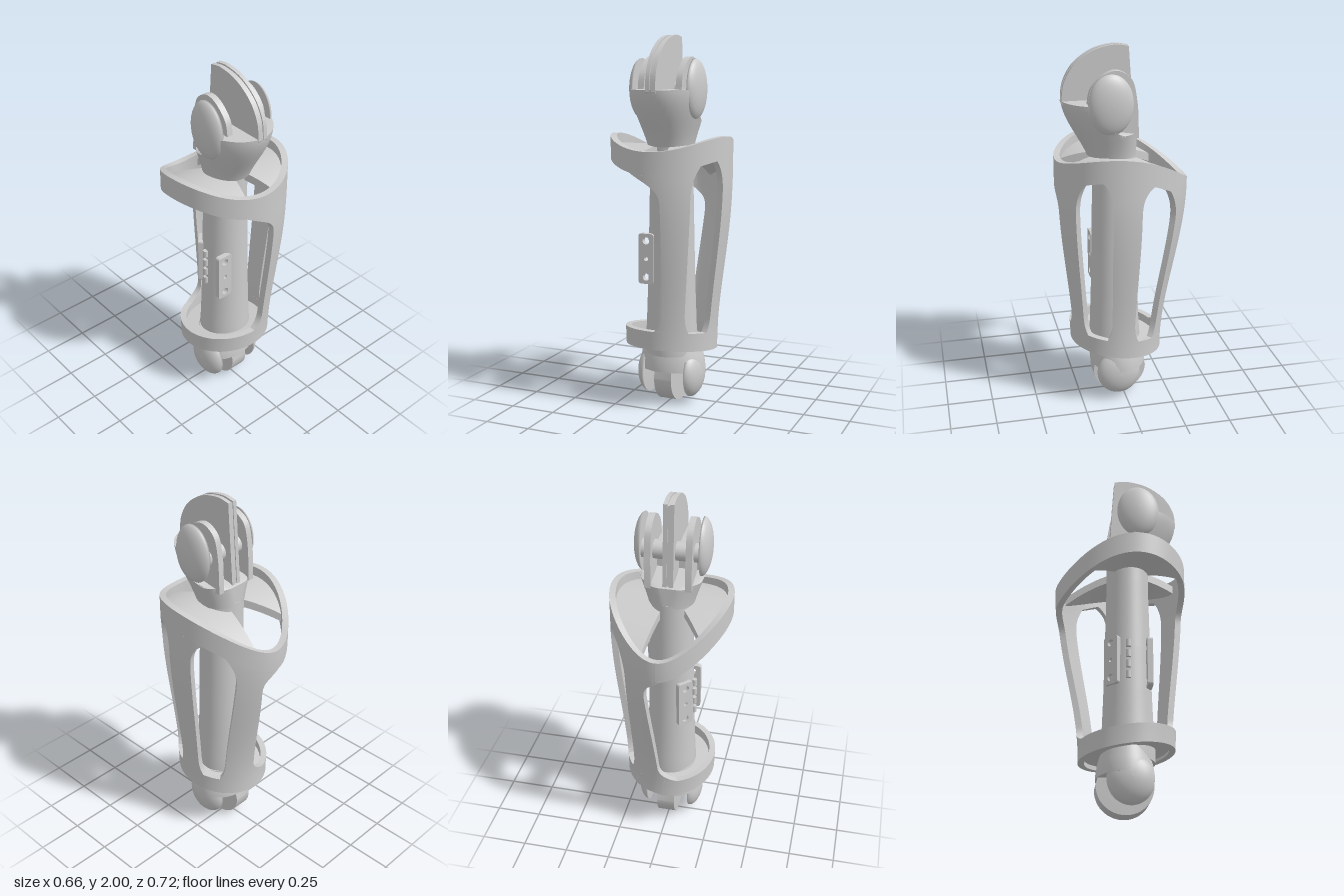
import * as THREE from 'three';
import { toCreasedNormals } from 'three/addons/utils/BufferGeometryUtils.js';

const material = new THREE.MeshStandardMaterial({ color: 0xcccccc, side: THREE.DoubleSide });
const CZ = 0.04; // z of the central bone axis
const { lerp, smoothstep, clamp } = THREE.MathUtils;

export function createModel() {
  const model = new THREE.Group();

  const add = (name, geometry, x = 0, y = 0, z = 0) => {
    const mesh = new THREE.Mesh(geometry, material);
    mesh.name = name;
    mesh.position.set(x, y, z);
    model.add(mesh);
    return mesh;
  };

  // Move every vertex by a rule, then rebuild the normals
  const warp = (geometry, rule) => {
    const p = geometry.attributes.position;
    for (let i = 0; i < p.count; i++) p.setXYZ(i, ...rule(p.getX(i), p.getY(i), p.getZ(i)));
    geometry.computeVertexNormals();
    return geometry;
  };

  // Egg-shaped shell section, angle measured from the front (+z) towards +x
  const shellPoint = (angle, y, inset = 0) => {
    const w = smoothstep(y, 0.3, 1.25);
    const s = Math.sin(angle), c = Math.cos(angle);
    const half = lerp(0.25, 0.328, w) - inset;
    const depth = (c > 0 ? lerp(0.248, 0.32, w) : lerp(0.26, 0.4, w)) - inset;
    const taper = c < 0 ? 1 - 0.2 * w * c * c : 1;
    return [half * s * taper, CZ + depth * c];
  };
  const topLevel = (z) => 1.47 + 0.194 * z - z * z;
  const bottomLevel = (z) => 0.31 + 0.137 * z;
  const rimTop = (angle) => topLevel(shellPoint(angle, 1.4)[1]);
  const rimBottom = (angle) => bottomLevel(shellPoint(angle, 0.3)[1]);

  // Curved slab of the shell; edges are functions of the box parameters
  const WALL = 0.034;
  const slab = (left, right, bottom, top, nu, nv) =>
    warp(new THREE.BoxGeometry(1, 1, 1, nu, nv, 1), (u, v, d) => {
      const t = v + 0.5;
      const a = lerp(left(t), right(t), u + 0.5);
      const y = lerp(bottom(a), top(a), t);
      const [x, z] = shellPoint(a, y, (0.5 - d) * WALL);
      return [x, y, z];
    });

  // Rings
  const RING_LOW = 0.1, RING_HIGH = 0.12;
  const from = () => -Math.PI, to = () => Math.PI;
  add('upperRing', slab(from, to, (a) => rimTop(a) - RING_HIGH, rimTop, 96, 3));
  add('lowerRing', slab(from, to, rimBottom, (a) => rimBottom(a) + RING_LOW, 96, 3));

  // Posts between the windows, flaring where they meet the rings
  const edge = (low, high, flareLow, flareHigh) => (t) => {
    const b = clamp((0.14 - t) / 0.14, 0, 1), h = clamp((t - 0.79) / 0.21, 0, 1);
    return lerp(low, high, t) + flareLow * b ** 3 + flareHigh * h ** 3;
  };
  const posts = {
    frontPost: [edge(0.23, 0.2, -0.22, -0.55), edge(0.66, 0.7, 0.1, 0.17)],
    sidePost: [edge(1.32, 1.36, -0.1, -0.16), edge(1.8, 1.78, 0.1, 0.18)],
    backPost: [edge(2.38, 2.44, -0.1, -0.18), edge(3.08, 2.83, 0.4, 0.4)],
  };
  for (const [name, [left, right]] of Object.entries(posts)) {
    add(name, slab(left, right, (a) => rimBottom(a) + RING_LOW, (a) => rimTop(a) - RING_HIGH, 14, 64));
  }

  // Webs joining the rings to the bone, following the slope of the rims
  const web = (a0, a1, yMid, level, thick, nu) =>
    warp(new THREE.BoxGeometry(1, 1, 1, nu, 1, 8), (u, v, d) => {
      const a = lerp(a0, a1, u + 0.5), r = d + 0.5;
      const [ox, oz] = shellPoint(a, yMid, WALL * 0.6);
      const x = lerp(0.09 * Math.sin(a), ox, r);
      const z = lerp(CZ + 0.09 * Math.cos(a), oz, r);
      return [x, level(z) + v * thick, z];
    });
  const deckLevel = (z) => topLevel(z) - 0.075;
  add('leftDeck', web(0.3, 2.77, 1.35, deckLevel, 0.045, 40));
  add('rightDeck', web(-2.3, -0.3, 1.35, deckLevel, 0.045, 40));
  add('lowerFloor', web(-Math.PI, Math.PI, 0.33, (z) => bottomLevel(z) + 0.035, 0.03, 72));

  // Central bone and the oval hub below it
  const lathe = (profile) =>
    toCreasedNormals(new THREE.LatheGeometry(profile.map(([x, y]) => new THREE.Vector2(x, y)), 48), 0.6);
  add('bone', lathe([[0, 0.28], [0.143, 0.28], [0.145, 0.34], [0.138, 0.43], [0.13, 0.65], [0.124, 0.9],
    [0.116, 1.3], [0.118, 1.44], [0, 1.44]]), 0, 0, CZ);
  add('lowerHub', lathe([[0, 0.19], [0.186, 0.19], [0.184, 0.22], [0.174, 0.27], [0.158, 0.32],
    [0.148, 0.36], [0, 0.36]]), 0, 0, 0.025).scale.z = 0.83;

  // Flared head, cut away at the back to make room for the fins
  const socket = new THREE.CylinderGeometry(1, 1, 1, 56, 20);
  add('headSocket', toCreasedNormals(warp(socket, (x, v, z) => {
    const y = lerp(1.42, 1.72, v + 0.5), w = smoothstep(y, 1.33, 1.73);
    const half = lerp(0.112, 0.204, w);
    const depth = z > 0 ? lerp(0.125, 0.278, w) : lerp(0.115, 0.13, w);
    const cut = lerp(-0.075, 0.08, smoothstep(y, 1.545, 1.58));
    return [x * half, y, Math.max(CZ + z * depth, cut)];
  }), 0.7));

  // Flat plate from a (z, y) outline, centred on the given x
  const plate = (shape, thickness) => {
    const g = new THREE.ExtrudeGeometry(shape, { depth: thickness, bevelEnabled: false, curveSegments: 32 });
    g.translate(0, 0, -thickness / 2).rotateY(-Math.PI / 2);
    return toCreasedNormals(g, 0.5);
  };
  const outline = (start, curve, end) => {
    const s = new THREE.Shape();
    s.moveTo(...start);
    s.lineTo(...curve[0]);
    s.splineThru(curve.slice(1).map((p) => new THREE.Vector2(...p)));
    s.lineTo(...end);
    s.closePath();
    return s;
  };

  // Middle fin: two leaves with a narrow groove
  const tall = outline([-0.07, 1.48], [[-0.035, 1.99], [0.04, 2], [0.15, 1.975], [0.25, 1.905],
    [0.305, 1.81], [0.318, 1.71]], [0.17, 1.46]);
  for (const x of [-0.017, 0.017]) add('middleFinLeaf', plate(tall, 0.022), x);
  const core = plate(tall, 0.014);
  core.translate(0, -1.7, -0.1).scale(1, 0.97, 0.97).translate(0, 1.7, 0.1);
  add('middleFinCore', core);

  // Dome lying on its side, bulging towards +x
  const dome = (height) => {
    const pts = [new THREE.Vector2(0, 0), new THREE.Vector2(1, 0)];
    for (let i = 1; i <= 10; i++) {
      const a = (i / 10) * Math.PI / 2;
      pts.push(new THREE.Vector2(i === 10 ? 0 : Math.cos(a), height * Math.sin(a)));
    }
    return new THREE.LatheGeometry(pts, 40).rotateZ(-Math.PI / 2);
  };

  // Side fins, cheek domes and lower knuckles, mirrored
  const low = outline([-0.068, 1.53], [[-0.062, 1.7], [-0.035, 1.83], [0.035, 1.885], [0.11, 1.87],
    [0.18, 1.8], [0.2, 1.72]], [0.1, 1.53]);
  for (const side of [1, -1]) {
    add('sideFin', plate(low, 0.034), side * 0.107);
    const turn = side > 0 ? 0 : Math.PI;
    const cheek = add('cheekDome', dome(0.053), side * 0.151, 1.72, 0.085);
    cheek.scale.set(1, 0.16, 0.118);
    cheek.rotation.y = turn;
    const knuckle = add('lowerKnuckle', dome(0.068), side * 0.118, 0.165, 0.04);
    knuckle.scale.set(1, 0.133, 0.122);
    knuckle.rotation.y = turn;
  }
  add('headAxle', new THREE.CylinderGeometry(0.05, 0.05, 0.31, 32).rotateZ(Math.PI / 2), 0, 1.71, 0.03);

  // Lower middle tongue
  const tongue = new THREE.Shape();
  tongue.moveTo(0.15, 0.28);
  tongue.lineTo(-0.1, 0.28);
  tongue.lineTo(-0.13, 0.15);
  tongue.absarc(0.02, 0.15, 0.15, Math.PI, Math.PI * 2, false);
  tongue.closePath();
  add('lowerTongue', plate(tongue, 0.1));

  // Small drilled mounting plates on the bone
  const tab = new THREE.Shape();
  const w = 0.045, h = 0.138, r = 0.015;
  tab.moveTo(-w + r, -h);
  for (const [x, y, a] of [[w - r, -h + r, -0.5], [w - r, h - r, 0], [-w + r, h - r, 0.5], [-w + r, -h + r, 1]]) {
    tab.absarc(x, y, r, a * Math.PI, (a + 0.5) * Math.PI, false);
  }
  for (const [y, hole] of [[-0.1, 0.02], [0, 0.012], [0.1, 0.02]]) {
    tab.holes.push(new THREE.Path().absarc(0, y, hole, 0, Math.PI * 2, true));
  }
  const tabGeometry = new THREE.ExtrudeGeometry(tab, { depth: 0.03, bevelEnabled: false, curveSegments: 8 });
  tabGeometry.translate(0, 0, -0.015);
  add('frontMountingPlate', tabGeometry, -0.1, 0.81, 0.145);
  add('backMountingPlate', tabGeometry, -0.09, 0.82, -0.052).rotation.y = -Math.PI * 0.75;
  for (let i = 0; i < 4; i++) {
    add('mountingKnuckle', new THREE.CylinderGeometry(0.014, 0.014, 0.04, 12), -0.13, 0.73 + i * 0.06, 0.03);
  }

  return model;
}
